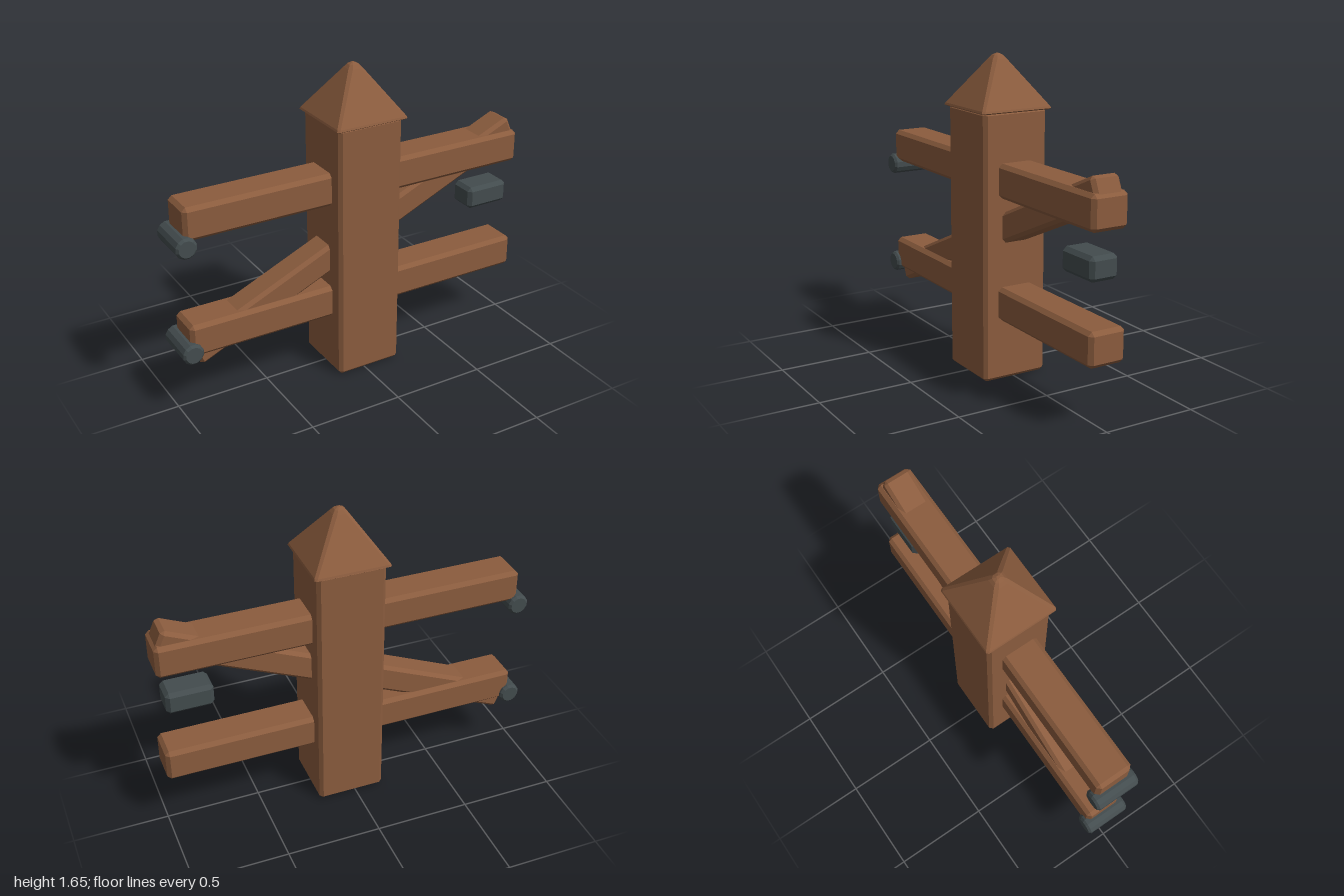
import * as THREE from 'three';
import { ConvexGeometry } from 'three/addons/geometries/ConvexGeometry.js';

const wood = new THREE.MeshStandardMaterial({ color: 0x8b5c3e });
wood.name = 'wood';
const iron = new THREE.MeshStandardMaterial({ color: 0x434c4e });
iron.name = 'iron';

// Box with every edge cut off by a flat chamfer
function chamferBox(w, h, d, c) {
  const pts = [];
  for (const sx of [-1, 1]) for (const sy of [-1, 1]) for (const sz of [-1, 1]) {
    for (let axis = 0; axis < 3; axis++) {
      const cut = [c, c, c];
      cut[axis] = 0;
      pts.push(new THREE.Vector3(sx * (w / 2 - cut[0]), sy * (h / 2 - cut[1]), sz * (d / 2 - cut[2])));
    }
  }
  return new ConvexGeometry(pts);
}

// Convex solid from square sections with cut corners: [y, half width, cut]
function squareSections(sections) {
  const pts = [];
  for (const [y, h, c] of sections)
    for (const sx of [-1, 1]) for (const sz of [-1, 1])
      pts.push(new THREE.Vector3(sx * h, y, sz * (h - c)), new THREE.Vector3(sx * (h - c), y, sz * h));
  return new ConvexGeometry(pts);
}

// Chamfered pin lying along z
function pinGeometry(radius, length, c, sides = 12) {
  const pts = [];
  for (const [r, z] of [[radius - c, length / 2], [radius, length / 2 - c]])
    for (const s of [-1, 1])
      for (let i = 0; i < sides; i++) {
        const a = ((i + 0.5) / sides) * Math.PI * 2;
        pts.push(new THREE.Vector3(Math.cos(a) * r, Math.sin(a) * r, s * z));
      }
  return new ConvexGeometry(pts);
}

export function createModel() {
  const group = new THREE.Group();
  group.name = 'gatePost';
  const add = (name, geometry, material, x, y, z = 0) => {
    const mesh = new THREE.Mesh(geometry, material);
    mesh.name = name;
    mesh.position.set(x, y, z);
    group.add(mesh);
    return mesh;
  };

  // Post and pointed cap
  add('post', chamferBox(0.36, 1.39, 0.36, 0.018), wood, 0.025, 0.695);
  add('postCap', squareSections([
    [1.38, 0.19, 0.008], [1.386, 0.199, 0.01], [1.396, 0.195, 0.012],
    [1.625, 0.039, 0.016], [1.642, 0.025, 0.012], [1.651, 0.008, 0.004],
  ]), wood, 0.025, 0);

  // Horizontal rails
  add('lowerRail', chamferBox(1.94, 0.176, 0.2, 0.02), wood, 0.025, 0.408);
  add('upperRail', chamferBox(1.94, 0.176, 0.2, 0.02), wood, 0.025, 1.043);

  // Diagonal brace
  const brace = add('brace', chamferBox(2.06, 0.145, 0.155, 0.018), wood, 0.03, 0.728);
  brace.rotation.z = 0.414;

  // Hinge pins and latch block
  add('lowerHinge', pinGeometry(0.056, 0.246, 0.012), iron, -0.944, 0.352);
  add('upperHinge', pinGeometry(0.056, 0.246, 0.012), iron, -0.944, 0.935);
  add('latch', chamferBox(0.246, 0.122, 0.155, 0.02), iron, 0.837, 0.775);

  return group;
}
